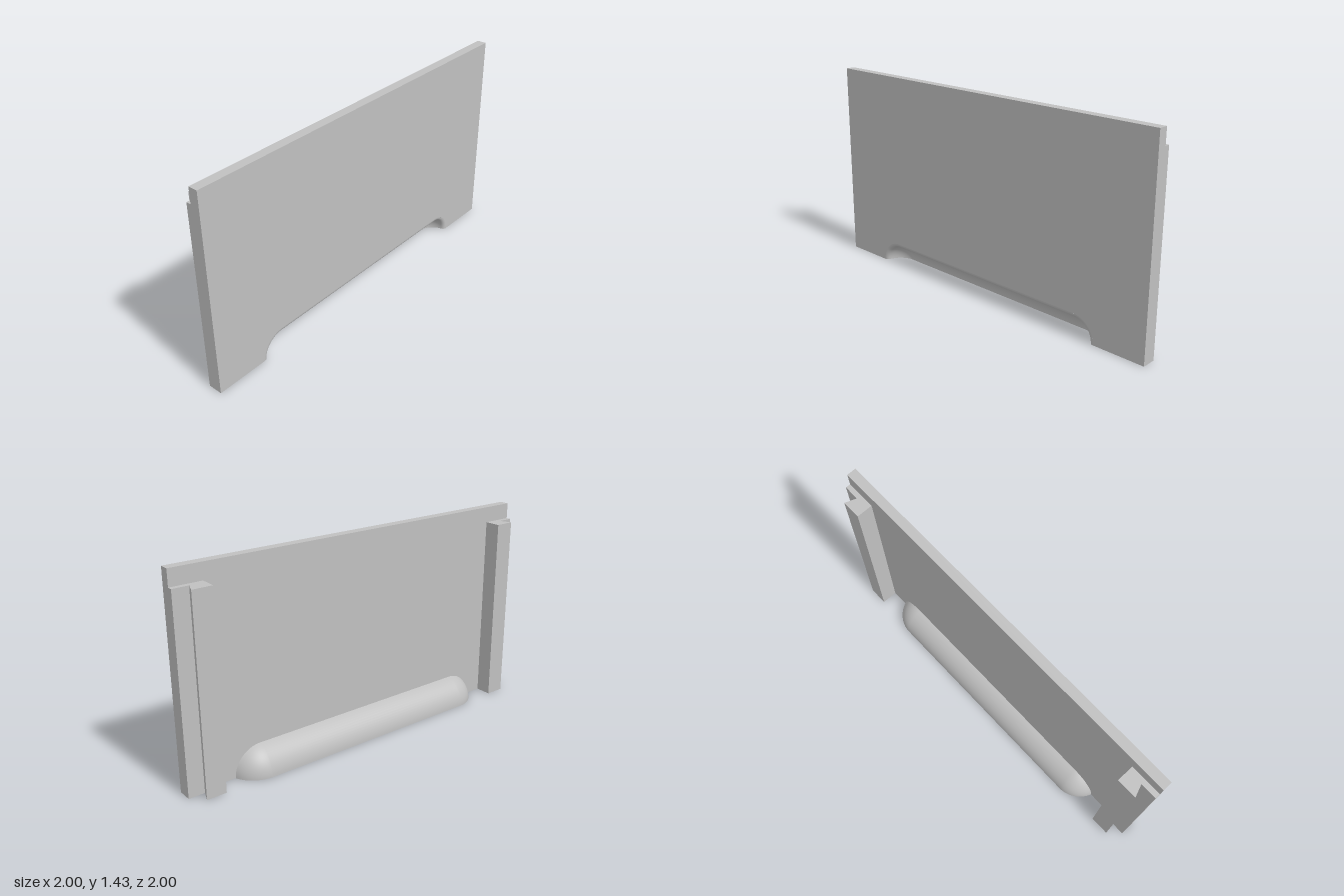
import * as THREE from 'three';

const grey = new THREE.MeshStandardMaterial({ color: 0xc0c0c0 });
grey.name = 'light grey';

const HALF = 1.365, HEIGHT = 1.43, RAIL_HEIGHT = 1.32;
const FRONT = 0.05, BACK = -0.0155;
const CENTRE = 0.83;              // centres of the recess's round ends
const OUTER = 0.2, INNER = 0.136; // radii of the bulge wall
const FILLET = 0.03;
const RIM = Math.sqrt((INNER + FILLET) ** 2 - FILLET ** 2);

// points [radius, z] along an arc
function arc(cr, cz, r, a0, a1, n) {
  return Array.from({ length: n + 1 }, (_, i) => {
    const a = a0 + (a1 - a0) * i / n;
    return [cr + r * Math.cos(a), cz + r * Math.sin(a)];
  });
}

// sweep a profile round the left end, along the top and round the right end
function sweep(profile) {
  const N = 20, stations = [];
  for (let i = 0; i <= N; i++) stations.push([-CENTRE, Math.PI - i / N * Math.PI / 2]);
  for (let i = 0; i <= N; i++) stations.push([CENTRE, Math.PI / 2 - i / N * Math.PI / 2]);
  const pos = [], index = [], m = profile.length;
  stations.forEach(([c, a], i) => {
    profile.forEach(([r, z], j) => {
      pos.push(c + r * Math.cos(a), Math.max(0, r * Math.sin(a)), z);
      if (i < stations.length - 1 && j < m - 1) {
        const p = i * m + j, q = p + m;
        index.push(p, q, p + 1, q, q + 1, p + 1);
      }
    });
  });
  const g = new THREE.BufferGeometry();
  g.setAttribute('position', new THREE.Float32BufferAttribute(pos, 3));
  g.setIndex(index);
  g.computeVertexNormals();
  return g;
}

export function createModel() {
  const model = new THREE.Group();
  const panel = new THREE.Group();
  panel.name = 'panel';
  panel.rotation.y = Math.PI / 4;
  model.add(panel);
  const add = (name, geometry) => {
    const mesh = new THREE.Mesh(geometry, grey);
    mesh.name = name;
    panel.add(mesh);
  };

  // flat plate with a long rounded cutout in its lower edge
  const s = new THREE.Shape();
  s.moveTo(-HALF, 0);
  s.lineTo(-CENTRE - RIM, 0);
  s.absarc(-CENTRE, 0, RIM, Math.PI, Math.PI / 2, true);
  s.lineTo(CENTRE, RIM);
  s.absarc(CENTRE, 0, RIM, Math.PI / 2, 0, true);
  s.lineTo(HALF, 0);
  s.lineTo(HALF, HEIGHT);
  s.lineTo(-HALF, HEIGHT);
  const plate = new THREE.ExtrudeGeometry(s, { depth: FRONT - BACK, bevelEnabled: false, curveSegments: 20 });
  plate.translate(0, 0, BACK);
  add('plate', plate);

  // bulge behind the plate and the filleted recess inside it
  const rimAngle = Math.asin((BACK - FRONT) / OUTER);
  const outer = arc(0, FRONT, OUTER, rimAngle, -Math.PI / 2, 14);
  const joint = Math.atan2(FILLET, RIM);
  const inner = [
    ...arc(0, FRONT, INNER, -Math.PI / 2, -joint, 12),
    ...arc(RIM, FRONT - FILLET, FILLET, Math.PI - joint, Math.PI / 2, 6).slice(1),
  ];
  add('bulge', sweep(outer));
  add('recess', sweep(inner));

  // underside of the bulge wall
  const left = p => p.map(([r, z]) => new THREE.Vector2(-CENTRE - r, z));
  const right = p => p.map(([r, z]) => new THREE.Vector2(CENTRE + r, z));
  const corner = [[RIM, BACK]];
  const edge = new THREE.Shape([
    ...left(outer), ...right([...outer].reverse()), ...right(corner),
    ...right([...inner].reverse()), ...left(inner), ...left(corner),
  ]);
  add('bulgeUnderside', new THREE.ShapeGeometry(edge).rotateX(Math.PI / 2));

  // hooked rails up both ends of the back
  const rail = [[1.15, -BACK], [1.15, 0.13], [1.285, 0.13], [1.255, 0.05], [HALF, 0.05], [HALF, -BACK]];
  for (const [name, side] of [['leftRail', 1], ['rightRail', -1]]) {
    const shape = new THREE.Shape(rail.map(([x, d]) => new THREE.Vector2(side * x, d)));
    const g = new THREE.ExtrudeGeometry(shape, { depth: RAIL_HEIGHT, bevelEnabled: false });
    add(name, g.rotateX(-Math.PI / 2));
  }
  return model;
}
